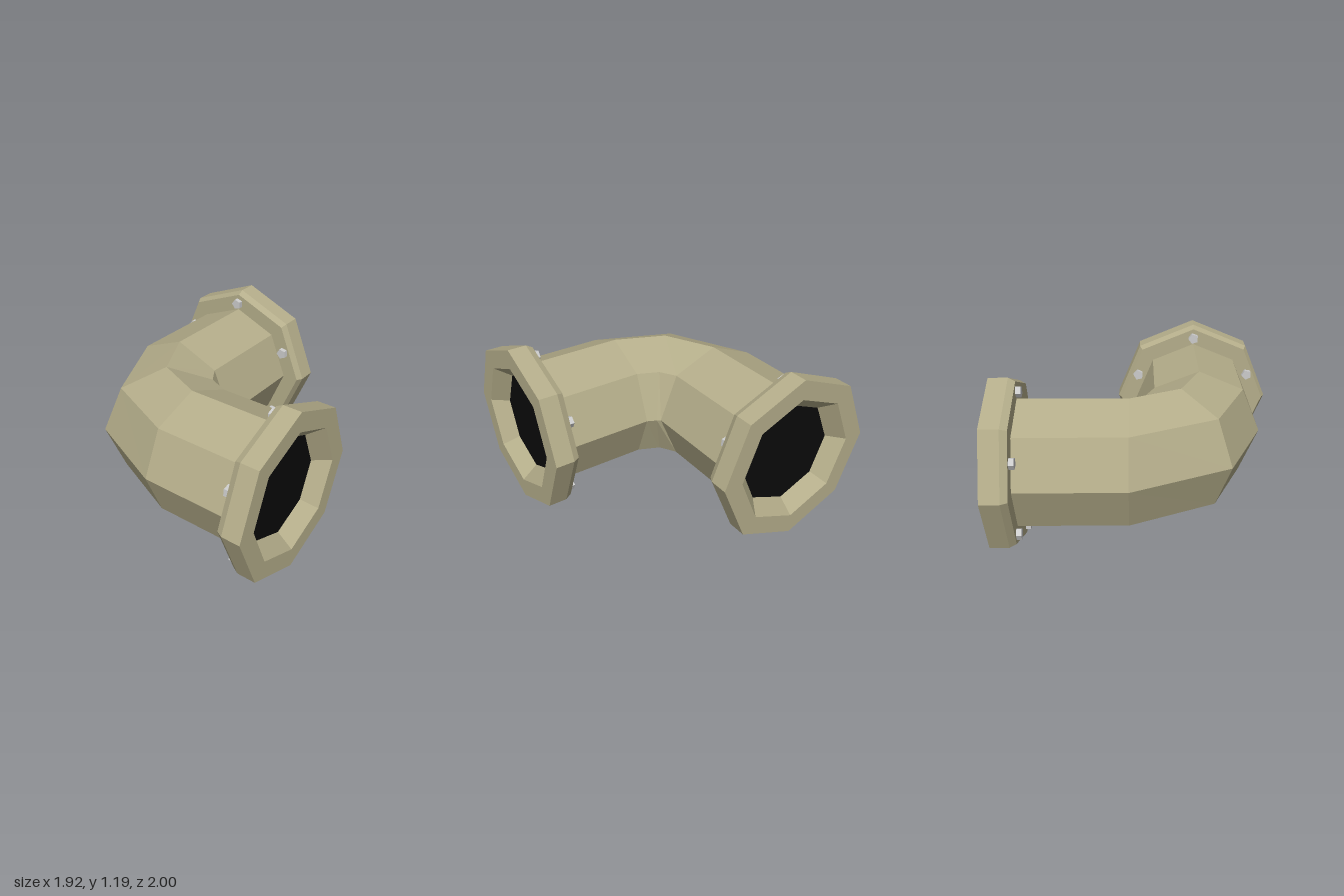
import * as THREE from 'three';

const paint = new THREE.MeshStandardMaterial({ color: 0xb4ad8a, flatShading: true });
const steel = new THREE.MeshStandardMaterial({ color: 0xcccccc, flatShading: true });
const dark = new THREE.MeshStandardMaterial({ color: 0x0a0a0a });

const SIDES = 8, R = 0.45, AXIS_Y = 0.6;

function addMesh(parent, name, geometry, material) {
  const mesh = new THREE.Mesh(geometry, material);
  mesh.name = name;
  parent.add(mesh);
  return mesh;
}

// Skin over octagonal rings; each ring is [centre x, centre z, inward x, inward z]
function elbowGeometry(rings) {
  const positions = [], index = [];
  rings.forEach(([cx, cz, dx, dz], r) => {
    for (let i = 0; i < SIDES; i++) {
      const a = (i / SIDES) * Math.PI * 2;
      const c = Math.cos(a);
      positions.push(cx + dx * c, AXIS_Y + R * Math.sin(a), cz + dz * c);
      if (r === 0) continue;
      const j = (i + 1) % SIDES;
      const a0 = (r - 1) * SIDES + i, a1 = (r - 1) * SIDES + j;
      const b0 = r * SIDES + i, b1 = r * SIDES + j;
      index.push(a0, a1, b1, a0, b1, b0);
    }
  });
  const g = new THREE.BufferGeometry();
  g.setAttribute('position', new THREE.Float32BufferAttribute(positions, 3));
  g.setIndex(index);
  g.computeVertexNormals();
  return g;
}

// Flange with recessed mouth and bolts; it opens toward local +z
function makeFlange(name) {
  const flange = new THREE.Group();
  flange.name = name;

  const profile = [
    [0.43, 0], [0.57, 0], [0.595, 0.045], [0.595, 0.175], [0.455, 0.175], [0.365, 0.065],
  ].map(([r, h]) => new THREE.Vector2(r, h));
  addMesh(flange, 'flangeRing', new THREE.LatheGeometry(profile, SIDES).rotateX(Math.PI / 2), paint);

  addMesh(flange, 'pipeOpening', new THREE.CircleGeometry(0.365, SIDES), dark).position.z = 0.065;

  // Bolt heads on the back of the flange
  const bolt = new THREE.CylinderGeometry(0.04, 0.04, 0.035, 5).rotateX(Math.PI / 2);
  const spots = [[0, 0.5], [0, -0.5]];
  for (const s of [-1, 1]) spots.push([s * 0.435, 0.2], [s * 0.37, -0.345]);
  for (const [x, y] of spots) {
    const head = addMesh(flange, 'bolt', bolt, steel);
    head.position.set(x, y, -0.0175);
    head.rotation.z = Math.atan2(y, x);
  }
  return flange;
}

export function createModel() {
  const model = new THREE.Group();
  model.name = 'pipeElbow';

  // Two straight runs joined by a mitred bend
  addMesh(model, 'pipe', elbowGeometry([
    [-0.365, -0.83, R, 0],
    [-0.365, -0.095, R, 0],
    [-0.19, 0.255, 0.3, -0.335],
    [0.148, 0.4, 0.025, -R],
    [0.79, 0.4, 0, -R],
  ]), paint);

  const rear = makeFlange('rearFlange');
  rear.position.set(-0.365, AXIS_Y, -0.825);
  rear.rotation.y = Math.PI;

  const side = makeFlange('leftFlange');
  side.position.set(0.785, AXIS_Y, 0.4);
  side.rotation.y = Math.PI / 2;

  model.add(rear, side);
  return model;
}
